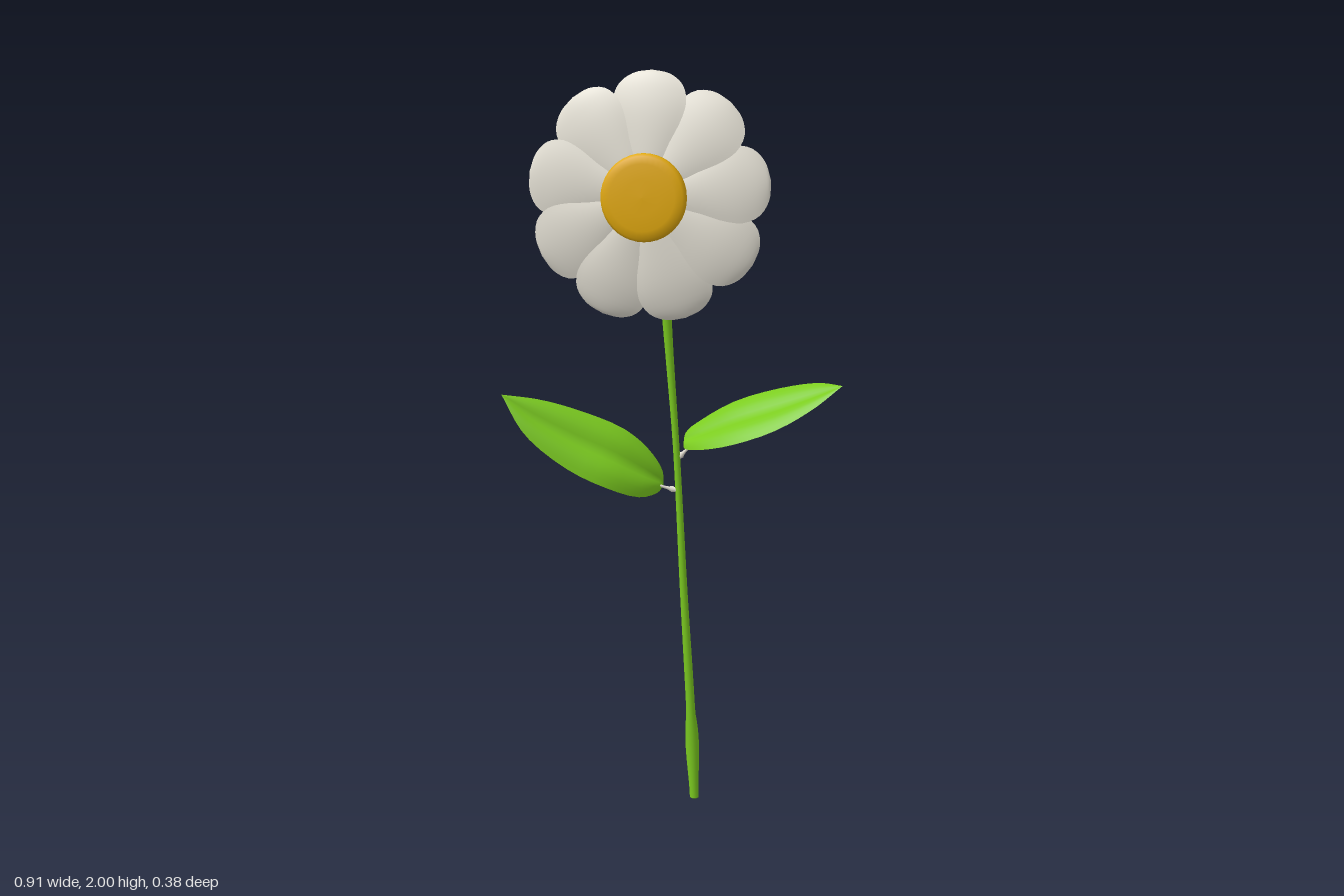
import * as THREE from 'three';

const V = (p) => new THREE.Vector3(...p);
const curve = (pts) => new THREE.CatmullRomCurve3(pts.map(V));

// Curved sheet stretched between two edge curves; profile(v), v in -1..1, lifts it along dir
function sheet(edgeA, edgeB, dir, profile, rows = 28, cols = 12) {
  const a = curve(edgeA), b = curve(edgeB), lift = V(dir).normalize();
  const geo = new THREE.PlaneGeometry(1, 1, cols, rows);
  const pos = geo.attributes.position;
  for (let i = 0, k = 0; i <= rows; i++) {
    const t = 0.5 - 0.5 * Math.cos((Math.PI * i) / rows);
    const p = a.getPoint(t), q = b.getPoint(t), width = p.distanceTo(q);
    for (let j = 0; j <= cols; j++, k++) {
      const m = p.clone().lerp(q, j / cols).addScaledVector(lift, profile((2 * j) / cols - 1) * width);
      pos.setXYZ(k, m.x, m.y, m.z);
    }
  }
  geo.computeVertexNormals();
  return geo;
}

// Tube whose radius changes along its path; points are [x, y, z, radius]
function taperedTube(points, segments, sides) {
  const path = curve(points.map((p) => p.slice(0, 3)));
  const radii = curve(points.map((p) => [p[3], 0, 0]));
  const geo = new THREE.TubeGeometry(path, segments, 1, sides);
  const pos = geo.attributes.position, nor = geo.attributes.normal;
  for (let i = 0, k = 0; i <= segments; i++) {
    const u = i / segments, c = path.getPointAt(u);
    const r = radii.getPoint(path.getUtoTmapping(u)).x;
    for (let j = 0; j <= sides; j++, k++) {
      pos.setXYZ(k, c.x + nor.getX(k) * r, c.y + nor.getY(k) * r, c.z + nor.getZ(k) * r);
    }
  }
  return geo;
}

export function createModel() {
  const group = new THREE.Group();
  const material = (name, color, side = THREE.FrontSide) => {
    const m = new THREE.MeshStandardMaterial({ color, side });
    m.name = name;
    return m;
  };
  const green = material('leaf green', 0x7ccc20, THREE.DoubleSide);
  const white = material('petal white', 0xe9e5d9, THREE.DoubleSide);
  const gold = material('centre gold', 0xe3aa0c);
  const add = (name, geo, mat, parent = group) => {
    const mesh = new THREE.Mesh(geo, mat);
    mesh.name = name;
    parent.add(mesh);
    return mesh;
  };

  // Stem bending forward and flaring into the flower base
  add('stem', taperedTube([
    [0.025, 0.005, -0.175, 0.0125], [0.018, 0.25, -0.16, 0.0125], [0.003, 0.6, -0.135, 0.0105],
    [-0.012, 1.0, -0.108, 0.009], [-0.025, 1.25, -0.085, 0.011], [-0.033, 1.45, -0.058, 0.015],
    [-0.035, 1.56, -0.035, 0.022], [-0.035, 1.635, 0.005, 0.037], [-0.035, 1.675, 0.06, 0.054],
    [-0.035, 1.685, 0.11, 0.068], [-0.035, 1.685, 0.15, 0.085],
  ], 90, 20), green);
  const foot = add('stemFoot', new THREE.SphereGeometry(0.0125, 16, 8), green);
  foot.scale.y = 0.4;
  foot.position.set(0.025, 0.005, -0.175);

  // Leaves: lower front edge, upper back edge, creased along the middle rib
  const rib = (v) => 0.07 * Math.sin(Math.PI * Math.abs(v));
  add('leftLeaf', sheet(
    [[0.005, 1.015, -0.12], [0.015, 1.005, -0.09], [0.075, 1.012, -0.03], [0.17, 1.035, 0.013],
      [0.285, 1.078, 0.026], [0.38, 1.135, 0.012], [0.453, 1.195, -0.01]],
    [[0.005, 1.015, -0.12], [0.008, 1.045, -0.148], [0.045, 1.075, -0.159], [0.14, 1.13, -0.147],
      [0.27, 1.173, -0.113], [0.38, 1.195, -0.066], [0.453, 1.195, -0.01]],
    [-0.25, 0.8, 0.55], rib), green);
  add('rightLeaf', sheet(
    [[-0.05, 0.9, -0.12], [-0.06, 0.882, -0.1], [-0.1, 0.875, -0.045], [-0.18, 0.908, 0.015],
      [-0.28, 0.96, 0.042], [-0.39, 1.05, 0.056], [-0.457, 1.155, 0.046]],
    [[-0.05, 0.9, -0.12], [-0.054, 0.94, -0.12], [-0.09, 1.0, -0.105], [-0.15, 1.055, -0.08],
      [-0.25, 1.102, -0.043], [-0.36, 1.138, 0], [-0.457, 1.155, 0.046]],
    [0.54, 0.36, 0.76], rib), green);

  // Leaf stalks
  add('leftLeafStalk', taperedTube([[-0.012, 0.972, -0.11, 0.004], [0.006, 0.99, -0.118, 0.004],
    [0.035, 1.02, -0.116, 0.003]], 8, 8), white);
  add('rightLeafStalk', taperedTube([[-0.008, 0.886, -0.115, 0.004], [-0.035, 0.892, -0.112, 0.004],
    [-0.075, 0.905, -0.1, 0.003]], 8, 8), white);

  // Flower head: ring of nine overlapping petals around a domed disc
  const flower = new THREE.Group();
  flower.name = 'flower';
  flower.position.set(-0.035, 1.68, 0);
  group.add(flower);
  const outline = [[0, 0.065], [0.034, 0.085], [0.06, 0.14], [0.088, 0.2], [0.097, 0.245],
    [0.084, 0.285], [0.048, 0.312], [0, 0.321]];
  const petalEdge = (side) => outline.map(([w, r]) =>
    [side * w, r, 0.162 - 0.42 * r * r + side * w * 0.07]);
  const petal = sheet(petalEdge(-1), petalEdge(1), [0, 0, 1], (v) => 0.07 * (1 - v * v));
  for (let i = 0; i < 9; i++) {
    add('petal', petal, white, flower).rotation.z = THREE.MathUtils.degToRad(-2 + 40 * i);
  }
  const dome = [[0, 0.142], [0.092, 0.142], [0.104, 0.15], [0.112, 0.163], [0.111, 0.173],
    [0.104, 0.181], [0.085, 0.185], [0.045, 0.187], [0, 0.188]];
  add('flowerCentre', new THREE.LatheGeometry(dome.map((p) => new THREE.Vector2(...p)), 40), gold, flower)
    .rotation.x = Math.PI / 2;

  return group;
}
